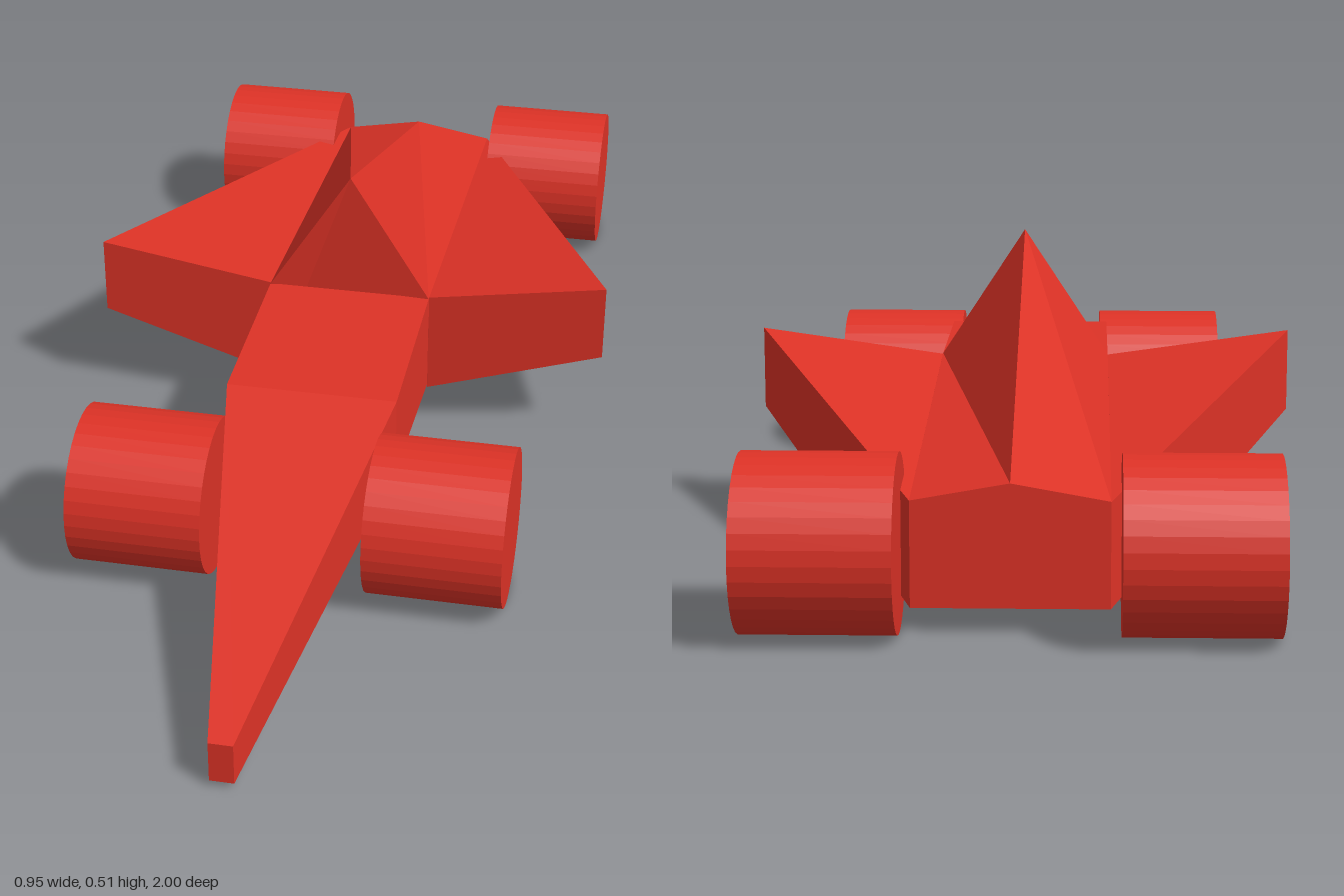
import * as THREE from 'three';

// Closed solid through equal-sized rings; the first ring is seen counter-clockwise from outside.
function loft(rings) {
  const pos = [];
  const tri = (...pts) => pts.forEach((p) => pos.push(...p));
  const first = rings[0], last = rings[rings.length - 1], n = first.length;
  for (let i = 1; i < n - 1; i++) {
    tri(first[0], first[i], first[i + 1]);
    tri(last[0], last[i + 1], last[i]);
  }
  for (let r = 0; r < rings.length - 1; r++) {
    const a = rings[r], b = rings[r + 1];
    for (let i = 0; i < n; i++) {
      const j = (i + 1) % n;
      tri(a[i], b[i], b[j]);
      tri(a[i], b[j], a[j]);
    }
  }
  const geo = new THREE.BufferGeometry();
  geo.setAttribute('position', new THREE.Float32BufferAttribute(pos, 3));
  geo.computeVertexNormals();
  return geo;
}

export function createModel() {
  const car = new THREE.Group();
  car.name = 'racingCar';
  const red = new THREE.MeshStandardMaterial({ color: 0xdd3226 });
  red.name = 'red';

  const add = (name, geo) => {
    const mesh = new THREE.Mesh(geo, red);
    mesh.name = name;
    car.add(mesh);
    return mesh;
  };

  // Tapered nose and front body
  const box = (z, w, y0, y1) => [[-w, y0, z], [w, y0, z], [w, y1, z], [-w, y1, z]];
  add('noseAndFrontBody', loft([
    box(1, 0.02, 0.012, 0.087),
    box(0.3, 0.15, 0.13, 0.277),
    box(-0.055, 0.15, 0.088, 0.277),
  ]));

  // Rear body with a ridge that falls towards the tail
  add('ridgedRearBody', loft([
    [[-0.15, 0.08, -0.065], [0.15, 0.08, -0.065], [0.15, 0.277, -0.052], [0, 0.507, -0.066], [-0.15, 0.277, -0.052]],
    [[-0.15, 0.04, -0.87], [0.15, 0.04, -0.87], [0.15, 0.205, -0.87], [0, 0.232, -0.87], [-0.15, 0.205, -0.87]],
  ]));

  for (const side of [1, -1]) {
    const label = side > 0 ? 'left' : 'right';

    // Swept side pod: a triangle in plan, widest at the front
    const plan = (root, tip, rear) => {
      const ring = [[side * 0.15, root, -0.058], [side * 0.475, tip, -0.066], [side * 0.15, rear, -0.87]];
      return side > 0 ? ring : ring.reverse();
    };
    add(label + 'SidePod', loft([plan(0.277, 0.325, 0.205), plan(0.08, 0.18, 0.04)]));

    // Wheels, lying along x with faceted treads
    for (const [end, z, inner, outer] of [['Front', 0.436, 0.137, 0.372], ['Rear', -0.863, 0.166, 0.403]]) {
      const tread = new THREE.CylinderGeometry(0.137, 0.137, outer - inner, 36).rotateZ(Math.PI / 2).toNonIndexed();
      tread.computeVertexNormals();
      add(label + end + 'Wheel', tread).position.set(side * (inner + outer) / 2, 0.138, z);
    }
  }
  return car;
}
